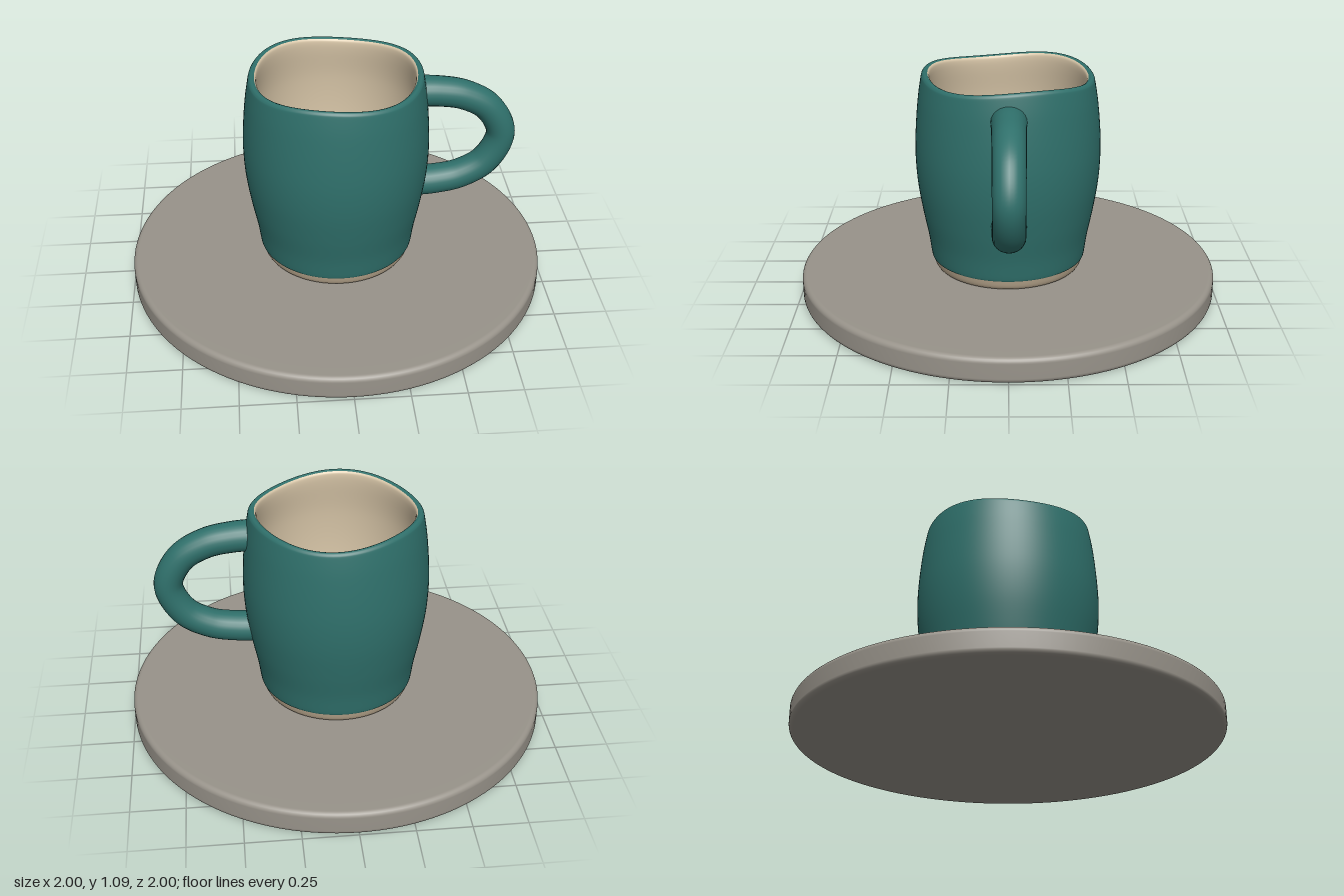
import * as THREE from 'three';

const material = (name, color) => Object.assign(new THREE.MeshStandardMaterial({ color }), { name });

// Smooth curve through [radius, height] points
const smooth = (points, n) =>
  new THREE.SplineCurve(points.map(([x, y]) => new THREE.Vector2(x, y))).getPoints(n);

function addMesh(group, name, geometry, mat) {
  const mesh = new THREE.Mesh(geometry, mat);
  mesh.name = name;
  group.add(mesh);
  return mesh;
}

// Hand-made rim: three gentle waves that fade out down the wall
function waveRim(geometry) {
  const p = geometry.attributes.position;
  for (let i = 0; i < p.count; i++) {
    const angle = Math.atan2(p.getZ(i), p.getX(i));
    const weight = THREE.MathUtils.smoothstep(p.getY(i), 0.75, 1.06);
    const wave = 0.014 * Math.cos(3 * (angle - THREE.MathUtils.degToRad(103)));
    p.setY(i, p.getY(i) + weight * wave);
  }
  return geometry;
}

export function createModel() {
  const model = new THREE.Group();
  model.name = 'mugOnSaucer';
  const glaze = material('teal glaze', 0x2f706b);
  const cream = material('cream glaze', 0xd8c6a8);
  const clay = material('bare clay', 0xbcaa90);
  const stone = material('grey stone', 0x98938a);

  // Flat round saucer with softened edges
  const r = 0.025, saucerPoints = [new THREE.Vector2(0, 0), new THREE.Vector2(0.9, 0)];
  for (const [cy, start] of [[r, -Math.PI / 2], [0.12 - r, 0]]) {
    for (let i = 0; i <= 6; i++) {
      const a = start + (i / 6) * Math.PI / 2;
      saucerPoints.push(new THREE.Vector2(1 - r + r * Math.cos(a), cy + r * Math.sin(a)));
    }
  }
  saucerPoints.push(new THREE.Vector2(0.9, 0.12), new THREE.Vector2(0, 0.12));
  addMesh(model, 'saucer', new THREE.LatheGeometry(saucerPoints, 128), stone);

  const mug = new THREE.Group();
  mug.name = 'mug';
  model.add(mug);

  // Unglazed foot
  const foot = smooth([[0.325, 0.119], [0.345, 0.126], [0.357, 0.145], [0.366, 0.182]], 12);
  addMesh(mug, 'foot', new THREE.LatheGeometry([new THREE.Vector2(0, 0.119), ...foot], 96), clay);

  // Glazed outer wall, rolling over the rim
  const wall = smooth([
    [0.364, 0.178], [0.371, 0.182], [0.385, 0.28], [0.41, 0.41], [0.431, 0.55], [0.439, 0.68],
    [0.435, 0.81], [0.422, 0.95], [0.407, 1.045], [0.4, 1.067], [0.388, 1.075], [0.375, 1.07],
  ], 60);
  addMesh(mug, 'outerWall', waveRim(new THREE.LatheGeometry(wall, 96)), glaze);

  // Cream lining, from the rim down to the floor
  const lining = smooth([
    [0.375, 1.07], [0.367, 1.055], [0.37, 1.0], [0.392, 0.85], [0.4, 0.68], [0.393, 0.53],
    [0.37, 0.38], [0.35, 0.27], [0.32, 0.225], [0.25, 0.21], [0, 0.207],
  ], 60);
  addMesh(mug, 'lining', waveRim(new THREE.LatheGeometry(lining, 96)), cream);

  // Pulled handle, broader where it joins the wall
  const path = new THREE.CatmullRomCurve3([
    [0.37, 0.962], [0.48, 0.956], [0.6, 0.932], [0.72, 0.86], [0.787, 0.72],
    [0.72, 0.57], [0.6, 0.497], [0.48, 0.473], [0.37, 0.468],
  ].map(([x, y]) => new THREE.Vector3(x, y, 0)));
  const segments = 72, sides = 24;
  const handle = new THREE.TubeGeometry(path, segments, 0.068, sides);
  const p = handle.attributes.position;
  for (let i = 0; i < p.count; i++) {
    const t = Math.floor(i / (sides + 1)) / segments;
    const c = path.getPointAt(t);
    const flare = Math.abs(2 * t - 1) ** 2;
    const v = new THREE.Vector3().fromBufferAttribute(p, i).sub(c);
    v.multiplyScalar(1 + 0.06 * flare);
    v.z *= 1.06 + 0.08 * flare;
    p.setXYZ(i, c.x + v.x, c.y + v.y, v.z - 0.003);
  }
  addMesh(mug, 'handle', handle, glaze);

  return model;
}
